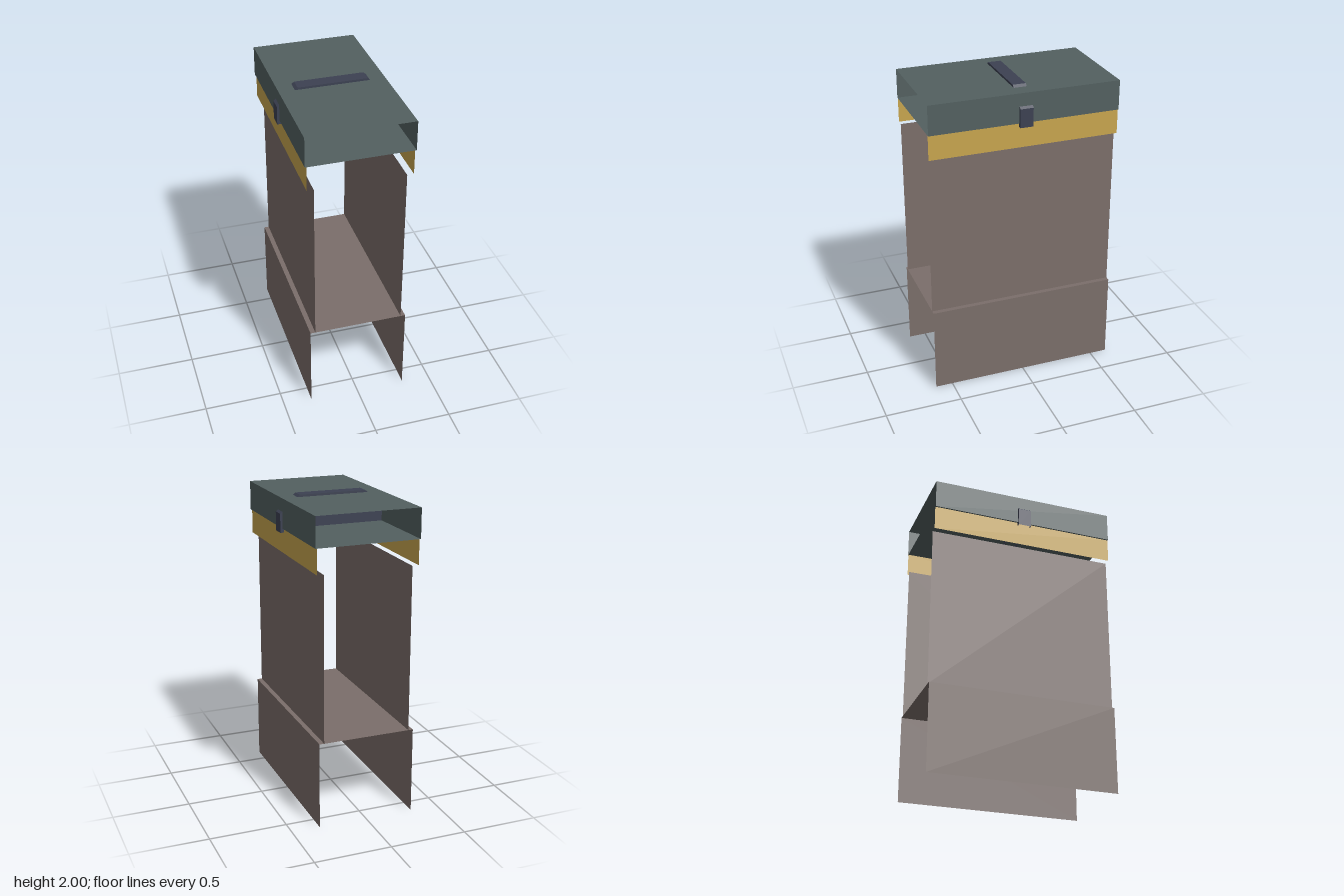
import * as THREE from 'three';

const mat = (name, color) => new THREE.MeshStandardMaterial({ name, color, side: THREE.DoubleSide });

// Sweep an x/y outline along z into open-ended flat panels with sharp edges
function sweep(points, halfDepth) {
  const pos = [];
  for (let i = 0; i + 1 < points.length; i++) {
    const [ax, ay] = points[i], [bx, by] = points[i + 1];
    const h = halfDepth;
    pos.push(ax, ay, h, ax, ay, -h, bx, by, -h);
    pos.push(ax, ay, h, bx, by, -h, bx, by, h);
  }
  const g = new THREE.BufferGeometry();
  g.setAttribute('position', new THREE.Float32BufferAttribute(pos, 3));
  g.computeVertexNormals();
  return g;
}

export function createModel() {
  const model = new THREE.Group();
  model.name = 'openCase';
  const brown = mat('brown', 0x7b6e6a);
  const yellow = mat('yellow', 0xc7a54e);
  const slate = mat('slateGreen', 0x536060);
  const navy = mat('navy', 0x3c4152);
  const depth = 0.612, strapDepth = 0.042;

  const add = (name, geometry, material, z = 0) => {
    const mesh = new THREE.Mesh(geometry, material);
    mesh.name = name;
    mesh.position.z = z;
    model.add(mesh);
  };

  // Pair of upright side panels
  const sidePanels = (name, x, y0, y1, material) => {
    add(name + 'Left', sweep([[x, y0], [x, y1]], depth), material);
    add(name + 'Right', sweep([[-x, y1], [-x, y0]], depth), material);
  };

  // Lower section: side walls joined by a shelf, open below
  const base = 0.316, shelfY = 0.567;
  add('lowerBody', sweep([[base, 0], [base, shelfY], [-base, shelfY], [-base, 0]], depth), brown);

  // Inset upper walls and the wider band above them
  sidePanels('upperWall', 0.285, shelfY, 1.635, brown);
  sidePanels('band', 0.327, 1.635, 1.795, yellow);

  // Lid: a sleeve open at front and back
  const lid = 0.337, y0 = 1.795, y1 = 1.986;
  add('lid', sweep([[lid, y0], [lid, y1], [-lid, y1], [-lid, y0], [lid, y0]], depth), slate);

  // Strap over the lid with sloped shoulders, open below
  const outline = [[0.352, 1.77], [0.352, 1.89], [0.22, 2], [-0.22, 2], [-0.352, 1.89], [-0.352, 1.77]];
  add('strap', sweep(outline, strapDepth), navy);
  const cap = new THREE.ShapeGeometry(new THREE.Shape(outline.map(([x, y]) => new THREE.Vector2(x, y))));
  add('strapFront', cap, navy, strapDepth);
  const back = cap.clone().rotateY(Math.PI);
  add('strapBack', back, navy, -strapDepth);

  return model;
}
